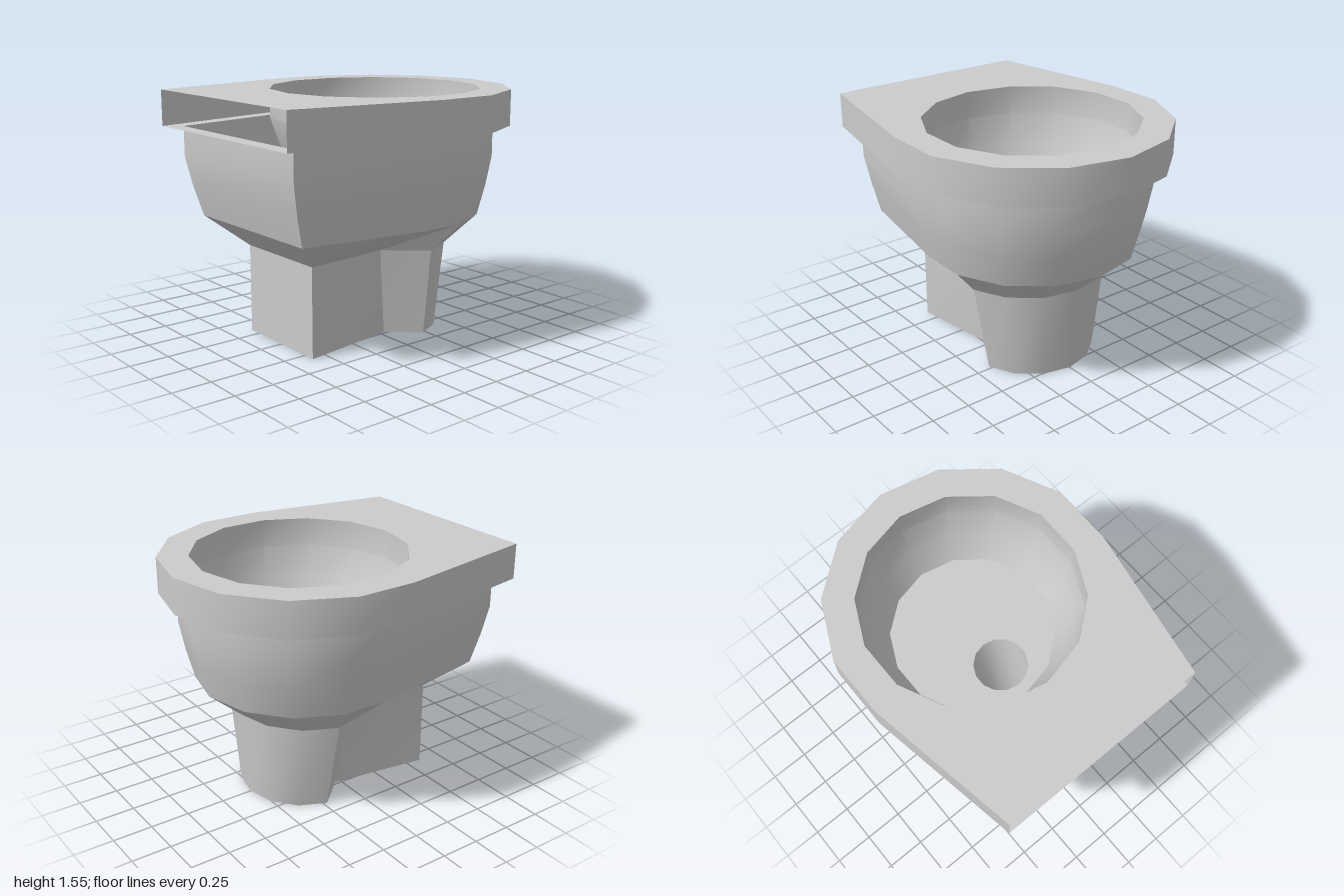
import * as THREE from 'three';
import { toCreasedNormals } from 'three/addons/utils/BufferGeometryUtils.js';

const SIDES = 14;
const STEP = (Math.PI * 2) / SIDES;
const material = new THREE.MeshStandardMaterial({ color: 0xcccccc, side: THREE.DoubleSide });

// Full 14-sided ring, counter-clockwise from above, starting at the front
function ring(y, cz, r) {
  return Array.from({ length: SIDES }, (_, i) =>
    new THREE.Vector3(r * Math.sin(i * STEP), y, cz + r * Math.cos(i * STEP)));
}

// Rounded back with a flat front of half width fx at depth fz;
// an optional waist [x, z] pinches the sides between back and front
function section(y, cz, r, fx, fz, waist) {
  const arc = ring(y, cz, r).slice(3, 12);
  if (waist) {
    arc[0].set(waist[0], y, waist[1]);
    arc[8].set(-waist[0], y, waist[1]);
  }
  return [new THREE.Vector3(fx, y, fz), ...arc, new THREE.Vector3(-fx, y, fz)];
}

// Skin through a stack of loops; an open loft leaves out the front face
function loft(loops, closed = true) {
  const pos = [];
  const n = loops[0].length;
  for (let k = 0; k + 1 < loops.length; k++) {
    const a = loops[k], b = loops[k + 1];
    for (let i = 0; i < (closed ? n : n - 1); i++) {
      const j = (i + 1) % n;
      for (const p of [a[i], a[j], b[j], a[i], b[j], b[i]]) pos.push(p.x, p.y, p.z);
    }
  }
  const geo = new THREE.BufferGeometry();
  geo.setAttribute('position', new THREE.Float32BufferAttribute(pos, 3));
  return toCreasedNormals(geo, THREE.MathUtils.degToRad(28));
}

// Flat horizontal sheet bounded by one loop, optionally pierced by another
function sheet(outer, hole) {
  const flat = (loop) => loop.map((p) => new THREE.Vector2(p.x, -p.z));
  const shape = new THREE.Shape(flat(outer));
  if (hole) shape.holes.push(new THREE.Path(flat(hole)));
  return new THREE.ShapeGeometry(shape).rotateX(-Math.PI / 2).translate(0, outer[0].y, 0);
}

export function createModel() {
  const group = new THREE.Group();
  const add = (name, geometry) => {
    const mesh = new THREE.Mesh(geometry, material);
    mesh.name = name;
    group.add(mesh);
  };

  // Hollow pedestal: tapered back, pinched waist, boxed front, open underneath
  const neck = section(0.568, -0.09, 0.5, 0.33, 0.6, [0.285, 0.04]);
  add('pedestal', loft([section(0, -0.135, 0.41, 0.33, 0.6, [0.23, -0.04]), neck]));

  // Outer body flaring up from the neck to the rim
  const bodyTop = section(1.325, -0.14, 0.755, 0.585, 0.9);
  add('body', loft([
    neck,
    section(0.757, -0.135, 0.675, 0.53, 0.81),
    section(0.95, -0.138, 0.722, 0.56, 0.863),
    section(1.135, -0.14, 0.755, 0.585, 0.9),
    bodyTop,
  ]));

  // Rim: underside lip, wall open at the front, and pierced top
  const rimLow = section(1.325, -0.143, 0.859, 0.67, 1);
  const rimHigh = section(1.55, -0.143, 0.859, 0.67, 1);
  const bowlTop = ring(1.55, -0.145, 0.667);
  add('rimLip', sheet(rimLow, bodyTop));
  add('rimWall', loft([rimLow, rimHigh], false));
  add('rimTop', sheet(rimHigh, bowlTop));

  // Shallow bowl with a flat floor
  const floor = ring(1.0, -0.145, 0.515);
  add('bowl', loft([bowlTop, ring(1.37, -0.145, 0.667), ring(1.18, -0.145, 0.6), floor]));

  // Drain slanting forward from the floor
  const drainTop = ring(1.0, 0.13, 0.17);
  const drainEnd = ring(0.56, 0.34, 0.17);
  add('bowlFloor', sheet(floor, drainTop));
  add('drain', loft([drainTop, drainEnd]));
  add('drainEnd', sheet(drainEnd));

  return group;
}
